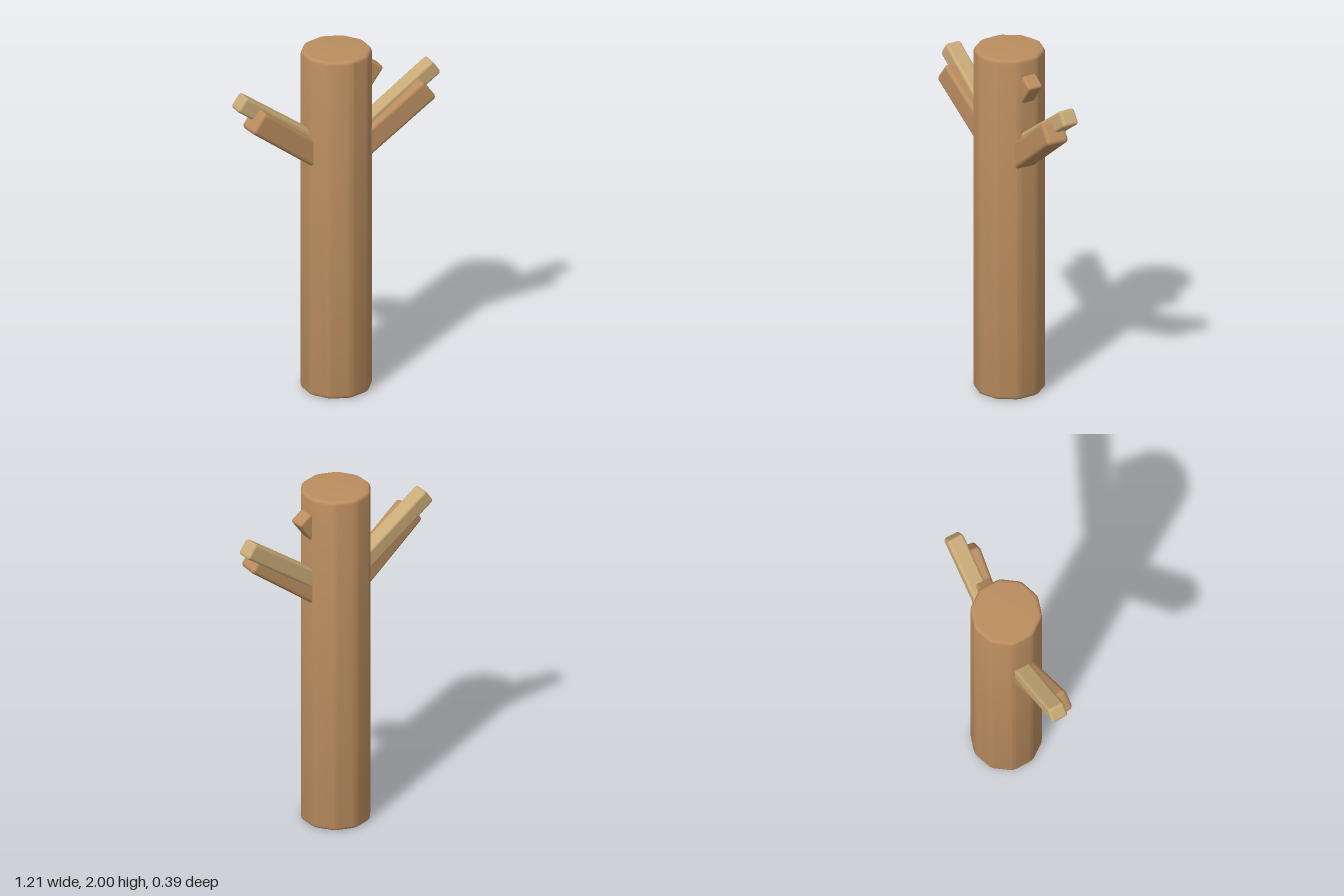
import * as THREE from 'three';
import { toCreasedNormals } from 'three/addons/utils/BufferGeometryUtils.js';
import { RoundedBoxGeometry } from 'three/addons/geometries/RoundedBoxGeometry.js';

const bark = new THREE.MeshStandardMaterial({ color: 0xba8d5f });
bark.name = 'brown bark';
const paleWood = new THREE.MeshStandardMaterial({ color: 0xc9ab78 });
paleWood.name = 'pale wood';

// Ten-sided column with softened corners and rims
function makeTrunk(radius, height, bevel) {
  const sides = 10;
  const corner = (i) => {
    const a = (i / sides) * Math.PI * 2;
    return new THREE.Vector2(Math.sin(a) * radius, Math.cos(a) * radius);
  };
  const shape = new THREE.Shape();
  for (let i = 0; i < sides; i++) {
    const c = corner(i);
    const a = c.clone().lerp(corner(i - 1), 0.17);
    const b = c.clone().lerp(corner(i + 1), 0.17);
    if (i === 0) shape.moveTo(a.x, a.y);
    else shape.lineTo(a.x, a.y);
    shape.quadraticCurveTo(c.x, c.y, b.x, b.y);
  }
  shape.closePath();
  const geometry = new THREE.ExtrudeGeometry(shape, {
    depth: height - bevel * 2,
    curveSegments: 4,
    bevelThickness: bevel,
    bevelSize: bevel,
    bevelOffset: -bevel,
    bevelSegments: 4,
  });
  geometry.rotateX(-Math.PI / 2);
  geometry.translate(0, bevel, 0);
  const trunk = new THREE.Mesh(toCreasedNormals(geometry, 0.45), bark);
  trunk.name = 'trunk';
  return trunk;
}

// Rounded beam ending at tip, sloping up by pitch and forward by yaw; side is +1 left, -1 right
function makeBranch(name, material, { length, height, width, radius, tip, pitch, yaw = 0 }, side = 1) {
  const geometry = new RoundedBoxGeometry(length, height, width, 4, radius);
  geometry.translate(-length / 2, 0, 0);
  const branch = new THREE.Mesh(geometry, material);
  branch.name = name;
  branch.position.set(tip[0] * side, tip[1], tip[2]);
  branch.rotation.order = 'YZX';
  branch.rotation.z = THREE.MathUtils.degToRad(pitch);
  const turn = THREE.MathUtils.degToRad(yaw);
  branch.rotation.y = side > 0 ? -turn : Math.PI + turn;
  return branch;
}

export function createModel() {
  const model = new THREE.Group();
  model.name = 'branchedPost';
  model.add(makeTrunk(0.197, 2, 0.02));

  // Mirrored pairs of branches
  const barkBranch = { length: 0.5, height: 0.135, width: 0.13, radius: 0.022, tip: [0.52, 1.7, 0.043], pitch: 36.7, yaw: 4.7 };
  const paleBranch = { length: 0.6, height: 0.094, width: 0.096, radius: 0.016, tip: [0.585, 1.797, -0.003], pitch: 35.2 };
  for (const [label, side] of [['left', 1], ['right', -1]]) {
    model.add(makeBranch(label + 'BarkBranch', bark, barkBranch, side));
    model.add(makeBranch(label + 'PaleBranch', paleWood, paleBranch, side));
  }

  // Short stub near the top
  model.add(makeBranch('stub', bark, {
    length: 0.22, height: 0.092, width: 0.09, radius: 0.014, tip: [0.23, 1.883, 0], pitch: 54,
  }));
  return model;
}
